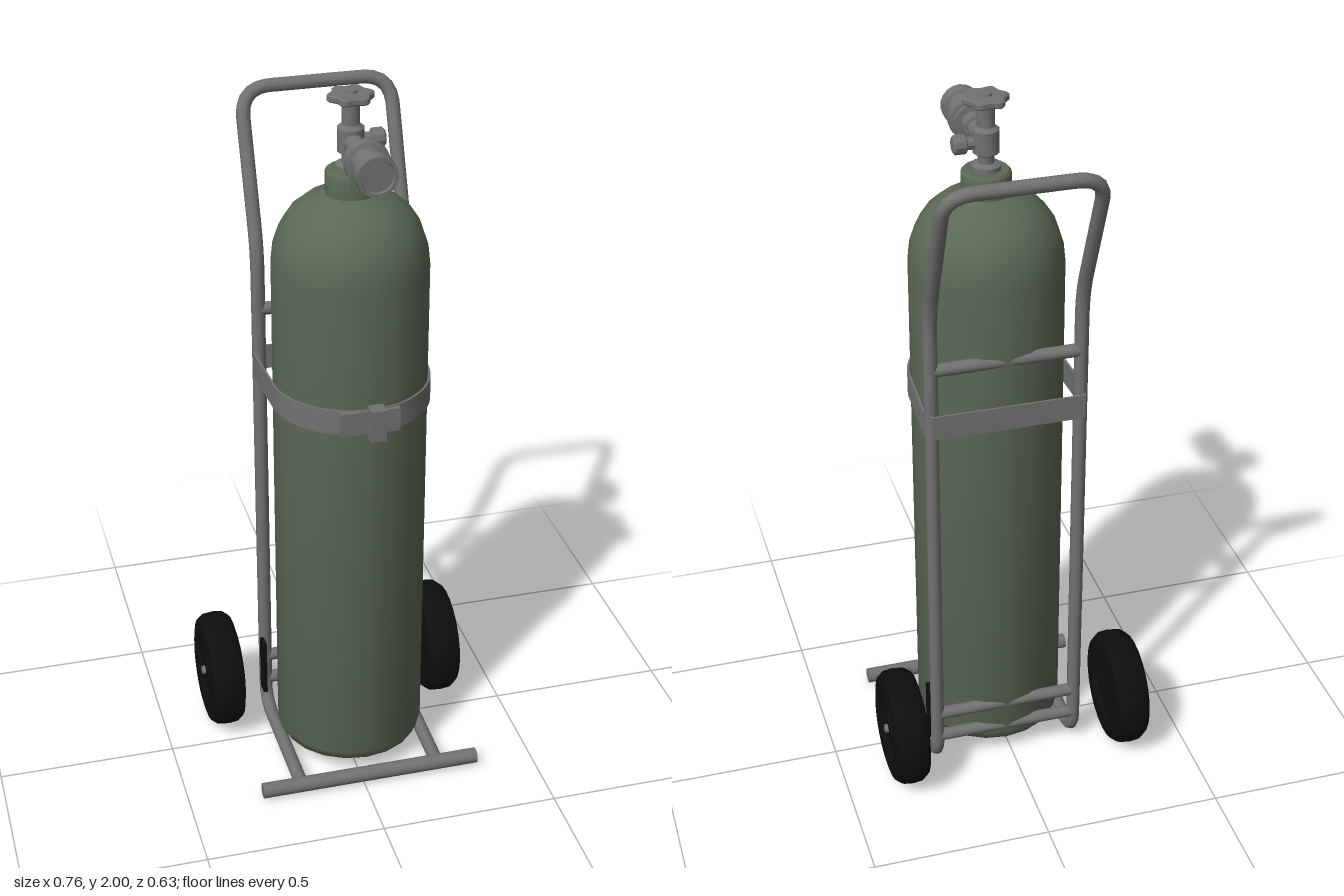
import * as THREE from 'three';
import { toCreasedNormals } from 'three/addons/utils/BufferGeometryUtils.js';

const CX = 0.018, CZ = 0.057; // axis of the gas bottle
const V = (x, y, z) => new THREE.Vector3(x, y, z);

export function createModel() {
  const model = new THREE.Group();
  const mat = (name, color) => {
    const m = new THREE.MeshStandardMaterial({ color });
    m.name = name;
    return m;
  };
  const green = mat('bottle green', 0x5b6955);
  const grey = mat('metal grey', 0x727272);
  const black = mat('rubber black', 0x0e0e0e);

  function add(name, geometry, material, x = 0, y = 0, z = 0, parent = model) {
    const mesh = new THREE.Mesh(geometry, material);
    mesh.name = name;
    mesh.position.set(x, y, z);
    parent.add(mesh);
    return mesh;
  }
  // Lathe from [radius, height] pairs, with hard edges kept sharp
  const lathe = (pts, sides, crease = 0.6) =>
    toCreasedNormals(new THREE.LatheGeometry(pts.map(p => new THREE.Vector2(...p)), sides), crease);

  // Straight round bar between two x positions
  function crossBar(name, x0, x1, y, z, r) {
    add(name, new THREE.CylinderGeometry(r, r, x1 - x0, 12), grey, (x0 + x1) / 2, y, z).rotation.z = Math.PI / 2;
  }

  // Polyline with rounded corners; each point may carry a corner radius
  function roundedPath(points, radii) {
    const path = new THREE.CurvePath();
    let last = points[0];
    for (let i = 1; i < points.length - 1; i++) {
      const p = points[i];
      const a = p.clone().add(points[i - 1].clone().sub(p).setLength(radii[i]));
      const b = p.clone().add(points[i + 1].clone().sub(p).setLength(radii[i]));
      path.add(new THREE.LineCurve3(last, a));
      path.add(new THREE.QuadraticBezierCurve3(a, p, b));
      last = b;
    }
    path.add(new THREE.LineCurve3(last, points[points.length - 1]));
    return path;
  }

  // Gas bottle
  add('gasBottle', lathe([
    [0, 0.05], [0.175, 0.05], [0.197, 0.062], [0.208, 0.09], [0.208, 1.53], [0.202, 1.585],
    [0.186, 1.632], [0.158, 1.675], [0.118, 1.708], [0.066, 1.728], [0.066, 1.785], [0.06, 1.792], [0, 1.792],
  ], 20, 0.75), green, CX, 0, CZ);

  // Bent tube frame: rail, post and handle, mirrored about the bottle axis
  const w = 0.205;
  const half = s => [
    V(CX + s * (w - 0.005), 0.03, 0.28), V(CX + s * w, 0.03, -0.133),
    V(CX + s * w, 1.5, -0.133), V(CX + s * w, 1.9, -0.295),
  ];
  const frame = roundedPath([...half(-1), ...half(1).reverse()], [0, 0.07, 0.07, 0.08, 0.08, 0.07, 0.07, 0]);
  add('frame', new THREE.TubeGeometry(frame, 220, 0.019, 10), grey);

  // Foot and cross bars
  crossBar('footBar', -0.295, 0.335, 0.03, 0.287, 0.022);
  crossBar('upperCrossBar', CX - w, CX + w, 1.33, -0.133, 0.018);
  crossBar('axleBar', CX - w, CX + w, 0.19, -0.133, 0.018);
  crossBar('lowerCrossBar', CX - w, CX + w, 0.11, -0.133, 0.018);

  // Strap: round in front, square around the posts behind
  function strapOutline(o, Kind) {
    const s = new Kind();
    const r = 0.21 + o;
    s.moveTo(r, 0);
    s.absarc(0, 0, r, 0, Math.PI, false);
    s.lineTo(-0.219 - o, -0.18);
    s.lineTo(-0.205 - o, -0.213 - o);
    s.lineTo(0.205 + o, -0.213 - o);
    s.lineTo(0.219 + o, -0.18);
    s.closePath();
    return s;
  }
  const strapShape = strapOutline(0.006, THREE.Shape);
  strapShape.holes.push(strapOutline(0, THREE.Path));
  const strapGeo = new THREE.ExtrudeGeometry(strapShape, { depth: 0.07, bevelEnabled: false, curveSegments: 20 });
  strapGeo.rotateX(Math.PI / 2);
  add('strap', toCreasedNormals(strapGeo, 0.6), grey, CX, 1.205, CZ);
  add('strapTongue', new THREE.BoxGeometry(0.16, 0.066, 0.018), grey, 0.015, 1.17, 0.268);
  add('buckle', new THREE.BoxGeometry(0.042, 0.09, 0.04), grey, 0.03, 1.17, 0.284);

  // Valve stem and body
  const valve = new THREE.Group();
  valve.name = 'valve';
  valve.position.set(CX, 0, CZ);
  model.add(valve);
  add('valveBody', lathe([
    [0, 1.785], [0.04, 1.785], [0.04, 1.805], [0.023, 1.812], [0.023, 1.832], [0.036, 1.84],
    [0.036, 1.902], [0.024, 1.912], [0.024, 1.978], [0, 1.978],
  ], 12), grey, 0, 0, 0, valve);

  // Lobed handwheel
  const wheelShape = new THREE.Shape();
  for (let i = 0; i < 48; i++) {
    const a = i / 48 * Math.PI * 2, r = 0.056 + 0.006 * Math.cos(6 * a);
    wheelShape[i ? 'lineTo' : 'moveTo'](r * Math.cos(a), r * Math.sin(a));
  }
  const handGeo = new THREE.ExtrudeGeometry(wheelShape, {
    depth: 0.012, bevelThickness: 0.004, bevelSize: 0.004, bevelOffset: -0.004, bevelSegments: 1,
  });
  handGeo.rotateX(-Math.PI / 2);
  add('handwheel', toCreasedNormals(handGeo, 0.6), grey, 0, 1.978, 0, valve);
  add('handwheelNut', new THREE.CylinderGeometry(0.016, 0.018, 0.01, 8), grey, 0, 1.995, 0, valve);

  // Forward outlet with its collar, barrel and cap
  const outlet = add('outlet', lathe([
    [0, 0], [0.026, 0], [0.026, 0.083], [0.034, 0.085], [0.034, 0.118], [0.05, 0.12], [0.05, 0.131],
    [0.042, 0.134], [0.058, 0.138], [0.058, 0.164], [0.045, 0.168], [0.045, 0.216], [0.053, 0.219],
    [0.053, 0.255], [0.044, 0.255], [0.042, 0.248], [0, 0.248],
  ], 18), grey, 0, 1.867, 0, valve);
  outlet.rotation.x = Math.PI / 2;

  // Side relief plug
  const plug = add('sidePlug', lathe([
    [0, 0], [0.017, 0], [0.017, 0.052], [0.026, 0.056], [0.026, 0.084], [0.02, 0.089], [0, 0.089],
  ], 10), grey, 0, 1.867, 0, valve);
  plug.rotation.z = -Math.PI / 2;

  // Wheels, with dished hubs facing outward, and frame brackets
  const tyre = lathe([
    [0, -0.036], [0.085, -0.036], [0.095, -0.046], [0.125, -0.051], [0.15, -0.045], [0.164, -0.027],
    [0.167, 0], [0.164, 0.027], [0.15, 0.045], [0.125, 0.051], [0.095, 0.046], [0.085, 0.036],
    [0.045, 0.034], [0.04, 0.044], [0, 0.044],
  ], 24);
  for (const s of [-1, 1]) {
    const wheel = new THREE.Group();
    wheel.name = s > 0 ? 'leftWheel' : 'rightWheel';
    wheel.position.set(s * 0.326, 0.17, -0.133);
    wheel.rotation.z = -s * Math.PI / 2;
    model.add(wheel);
    add('tyre', tyre, black, 0, 0, 0, wheel);
    add('hubBolt', new THREE.CylinderGeometry(0.011, 0.015, 0.014, 8), grey, 0, 0.046, 0, wheel);
    add('wheelBracket', new THREE.BoxGeometry(0.012, 0.17, 0.04), black, CX + s * 0.218, 0.18, -0.098);
  }
  return model;
}
